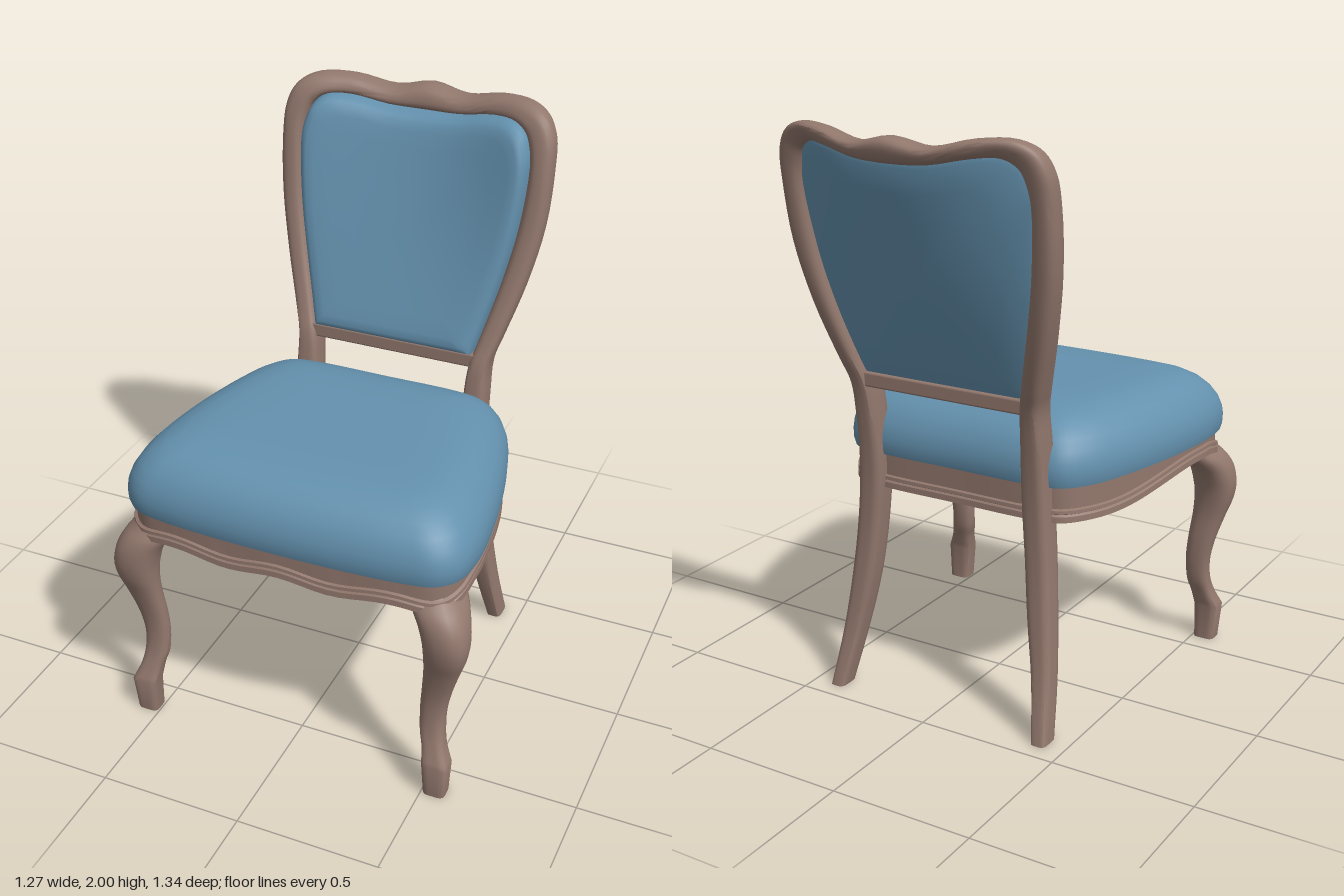
import * as THREE from 'three';
import { toCreasedNormals } from 'three/addons/utils/BufferGeometryUtils.js';
import { RoundedBoxGeometry } from 'three/addons/geometries/RoundedBoxGeometry.js';

const { lerp, smoothstep } = THREE.MathUtils;
const V = (x, y, z) => new THREE.Vector3(x, y, z);

// Skin through closed rings of equal length; ends are capped, or joined when loop is true
function loft(rings, { loop = false, crease = 0.7 } = {}) {
  const n = rings[0].length, pts = rings.flat(), index = [];
  for (let i = 0; i < rings.length - (loop ? 0 : 1); i++) {
    const a = i * n, b = ((i + 1) % rings.length) * n;
    for (let j = 0; j < n; j++) {
      const k = (j + 1) % n;
      index.push(a + j, b + j, b + k, a + j, b + k, a + k);
    }
  }
  if (!loop) {
    [0, rings.length - 1].forEach((r, end) => {
      const c = pts.length;
      pts.push(rings[r].reduce((s, p) => s.add(p), V(0, 0, 0)).divideScalar(n));
      for (let j = 0; j < n; j++) {
        const p = r * n + j, q = r * n + (j + 1) % n;
        index.push(c, end ? q : p, end ? p : q);
      }
    });
  }
  // Turn the faces outward if the enclosed volume is negative
  let volume = 0;
  const cross = V(0, 0, 0);
  for (let i = 0; i < index.length; i += 3)
    volume += cross.crossVectors(pts[index[i]], pts[index[i + 1]]).dot(pts[index[i + 2]]);
  if (volume < 0) index.reverse();
  const g = new THREE.BufferGeometry().setFromPoints(pts);
  g.setIndex(index);
  return toCreasedNormals(g, crease);
}

// Rounded-square section coordinates in -1..1
function section(power, n = 24) {
  return Array.from({ length: n }, (_, i) => {
    const a = ((i + 0.5) / n) * Math.PI * 2, c = Math.cos(a), s = Math.sin(a);
    const k = Math.pow(Math.abs(c) ** power + Math.abs(s) ** power, -1 / power);
    return [c * k, s * k];
  });
}

// Back legs, posts and crest rail: outer x, y, inner x, y, outer z, inner z, half depth
const FRAME = [
  [0.435, 0, 0.38, 0, -0.398, -0.398, 0.043],
  [0.415, 0.2, 0.346, 0.2, -0.342, -0.342, 0.044],
  [0.395, 0.4, 0.311, 0.4, -0.308, -0.308, 0.047],
  [0.378, 0.6, 0.29, 0.6, -0.288, -0.288, 0.049],
  [0.365, 0.8, 0.277, 0.8, -0.286, -0.286, 0.051],
  [0.361, 1.0, 0.282, 1.0, -0.303, -0.303, 0.054],
  [0.362, 1.12, 0.292, 1.12, -0.324, -0.324, 0.056],
  [0.385, 1.2, 0.312, 1.2, -0.352, -0.352, 0.055],
  [0.445, 1.4, 0.362, 1.4, -0.413, -0.411, 0.052],
  [0.485, 1.6, 0.4, 1.6, -0.458, -0.455, 0.048],
  [0.495, 1.8, 0.415, 1.8, -0.489, -0.487, 0.047],
  [0.488, 1.9, 0.405, 1.865, -0.508, -0.5, 0.045],
  [0.455, 1.965, 0.385, 1.91, -0.525, -0.512, 0.043],
  [0.39, 1.998, 0.34, 1.937, -0.55, -0.532, 0.043],
  [0.27, 1.996, 0.26, 1.935, -0.586, -0.567, 0.046],
  [0.13, 1.967, 0.13, 1.911, -0.612, -0.592, 0.051],
];
const CREST = [0, 1.99, 0, 1.905, -0.624, -0.602, 0.054];
const rows = [...FRAME, CREST,
  ...FRAME.map(([ox, oy, ix, ...rest]) => [-ox, oy, -ix, ...rest]).reverse()];
const last = rows.length - 1;
const outerCurve = new THREE.CatmullRomCurve3(rows.map(r => V(r[0], r[1], r[4])));
const innerCurve = new THREE.CatmullRomCurve3(rows.map(r => V(r[2], r[3], r[5])));

function backFrame() {
  const steps = last * 4;
  const rings = [];
  for (let i = 0; i <= steps; i++) {
    const t = i / steps, k = Math.min(Math.floor(t * last), last - 1);
    const depth = lerp(rows[k][6], rows[k + 1][6], t * last - k);
    const o = outerCurve.getPoint(t), n = innerCurve.getPoint(t);
    // Squarer legs, rounder top
    rings.push(section(lerp(4.5, 2.8, smoothstep(o.y, 1, 1.5))).map(([u, w]) => {
      const p = n.clone().lerp(o, (u + 1) / 2);
      p.z += w * depth;
      return p;
    }));
  }
  return loft(rings);
}

// Upholstered back pad: the inside edge of the frame, bowed and padded
function backPad() {
  const edge = [];
  for (let i = 0; i <= 70; i++) edge.push(innerCurve.getPoint(lerp(6.4, last - 6.4, i / 70) / last));
  const a = edge[70].clone(), b = edge[0].clone();
  for (let i = 1; i < 16; i++) edge.push(a.clone().lerp(b, i / 16));
  const middleZ = (x, y) => {
    const u = y - 1.15;
    return -0.343 - 0.29 * u + 0.08 * u * u - 0.125 * Math.max(u, 0) * (1 - Math.min((x / 0.41) ** 2, 1));
  };
  // Shrink toward the middle, depth
  const layers = [[0, 0.095], [0.25, 0.095], [0.5, 0.095], [0.7, 0.095], [0.85, 0.094], [0.92, 0.09], [0.96, 0.081],
    [0.985, 0.062], [0.995, 0.035], [1.01, -0.01], [0.97, -0.015], [0.75, -0.016], [0.5, -0.016], [0.25, -0.016],
    [0, -0.016]];
  return loft(layers.map(([s, d]) => edge.map(p => {
    const x = p.x * s, y = 1.53 + (p.y - 1.53) * s;
    return V(x, y, middleZ(x, y) + d);
  })), { crease: 1 });
}

// Seat plan: right half from the front centre to the back centre, mirrored
const half = [[0.22, 0.67], [0.42, 0.656], [0.53, 0.632], [0.588, 0.572], [0.608, 0.45], [0.594, 0.27], [0.564, 0.1],
  [0.524, -0.06], [0.475, -0.195], [0.405, -0.283], [0.3, -0.305]];
const plan = [[0, 0.674], ...half, [0, -0.307], ...half.map(([x, z]) => [-x, z]).reverse()];
const seatLine = new THREE.CatmullRomCurve3(plan.map(([x, z]) => V(x, 0, z)), true).getPoints(120).slice(0, -1);
const midZ = 0.185;
const seatRing = (inset, y) => seatLine.map(p => {
  const x = p.x * (1 - inset / 0.608), z = midZ + (p.z - midZ) * (1 - inset / 0.49);
  return V(x, typeof y === 'function' ? y(x, z) : y, z);
});

function seatCushion() {
  const profile = [[0.07, 0.8], [0.07, 0.85], [0.006, 0.85], [0.001, 0.87], [0, 0.9], [0.004, 0.93], [0.016, 0.965],
    [0.038, 1.0], [0.07, 1.032], [0.11, 1.056], [0.16, 1.072], [0.22, 1.079], [0.3, 1.081], [0.42, 1.082]];
  return loft(profile.map(([d, y]) => seatRing(d, y)));
}

// Seat rail with a shaped lower edge and a small moulding
function seatRail() {
  const bottom = (x, z) => 0.728
    + 0.055 * (smoothstep(z, -0.12, 0.35) - 0.65 * smoothstep(z, 0.42, 0.62))
    + 0.009 * Math.cos(x * 17) * smoothstep(z, 0.54, 0.62);
  const lip = [[0.02, 0.045], [0.012, 0.041], [0.011, 0.03], [0.018, 0.026], [0.012, 0.02], [0.011, 0], [0.076, 0]];
  return loft([seatRing(0.02, 0.86), ...lip.map(([d, h]) => seatRing(d, (x, z) => bottom(x, z) + h)),
    seatRing(0.076, 0.86)], { loop: true, crease: 0.5 });
}

// Cabriole front leg: y, outer x, inner x, outer z, inner z
const LEG = [
  [0.13, 0.592, 0.5, 0.652, 0.578], [0.19, 0.568, 0.49, 0.628, 0.562], [0.24, 0.56, 0.475, 0.613, 0.548],
  [0.32, 0.56, 0.47, 0.604, 0.54], [0.4, 0.575, 0.475, 0.609, 0.54], [0.5, 0.605, 0.485, 0.632, 0.545],
  [0.57, 0.628, 0.487, 0.655, 0.54], [0.63, 0.635, 0.482, 0.666, 0.527], [0.69, 0.626, 0.464, 0.664, 0.497],
  [0.735, 0.606, 0.435, 0.65, 0.455], [0.77, 0.578, 0.415, 0.625, 0.42], [0.8, 0.558, 0.41, 0.605, 0.4]];

function frontLeg(side) {
  const outer = new THREE.CatmullRomCurve3(LEG.map(r => V(r[1], r[0], r[3])));
  const inner = new THREE.CatmullRomCurve3(LEG.map(r => V(r[2], r[0], r[4])));
  const ring = (o, n, power) => section(power).map(([u, w]) => {
    // Hollow the inside corner near the top so the leg spreads along both rails
    const hollow = u < 0 && w < 0 ? 1 - 0.7 * smoothstep(o.y, 0.62, 0.78) * Math.min(-u, -w) : 1;
    return V(side * lerp(n.x, o.x, (u * hollow + 1) / 2), o.y, lerp(n.z, o.z, (w * hollow + 1) / 2));
  });
  const rings = [ring(V(0.582, 0, 0.642), V(0.506, 0, 0.574), 5)];
  for (let i = 0; i <= 44; i++)
    rings.push(ring(outer.getPoint(i / 44), inner.getPoint(i / 44), lerp(5, 2.5, Math.min(i / 10, 1))));
  return loft(rings);
}

export function createModel() {
  const wood = new THREE.MeshStandardMaterial({ color: 0x92786d });
  wood.name = 'brownWood';
  const fabric = new THREE.MeshStandardMaterial({ color: 0x6491ae });
  fabric.name = 'blueFabric';
  const model = new THREE.Group();
  model.name = 'diningChair';
  const add = (name, geometry, material) => {
    const mesh = new THREE.Mesh(geometry, material);
    mesh.name = name;
    model.add(mesh);
    return mesh;
  };

  add('backFrame', backFrame(), wood);
  add('backPad', backPad(), fabric);
  const bar = add('lowerBackRail', new RoundedBoxGeometry(0.63, 0.052, 0.085, 2, 0.008), wood);
  bar.position.set(0, 1.131, -0.328);
  add('seatCushion', seatCushion(), fabric);
  add('seatRail', seatRail(), wood);
  add('leftFrontLeg', frontLeg(1), wood);
  add('rightFrontLeg', frontLeg(-1), wood);
  return model;
}
